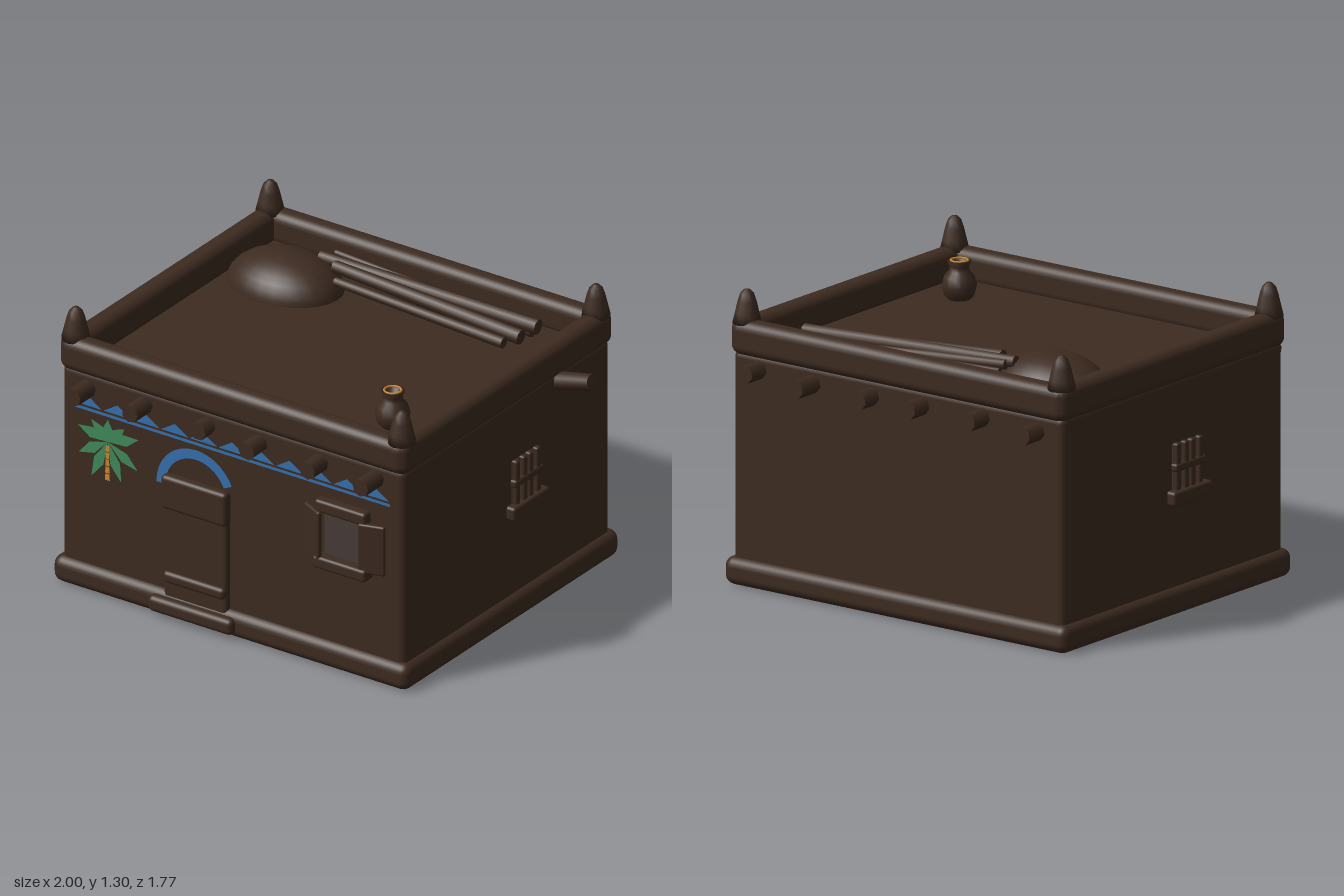
import * as THREE from 'three';
import { RoundedBoxGeometry } from 'three/addons/geometries/RoundedBoxGeometry.js';

const mat = (color) => new THREE.MeshStandardMaterial({ color });

export function createModel() {
  const model = new THREE.Group();
  const mud = mat(0x3d2b20), blue = mat(0x3570ad), green = mat(0x3f8a5a);
  const orange = mat(0xc8862f), pane = mat(0x463a38);
  blue.side = green.side = orange.side = THREE.DoubleSide;
  const CX = -0.07, FRONT = 0.77;

  const add = (name, geo, material = mud, parent = model) => {
    const mesh = new THREE.Mesh(geo, material);
    mesh.name = name;
    parent.add(mesh);
    return mesh;
  };
  // Soft-edged block given by its extents
  const block = (name, x0, x1, y0, y1, z0, z1, r = 0.015, parent = model, material = mud) => {
    const m = add(name, new RoundedBoxGeometry(x1 - x0, y1 - y0, z1 - z0, 3, r), material, parent);
    m.position.set((x0 + x1) / 2, (y0 + y1) / 2, (z0 + z1) / 2);
    return m;
  };
  // Round bar between two points
  const rod = (name, a, b, r0, r1 = r0, sides = 8) => {
    const p = new THREE.Vector3(...a), q = new THREE.Vector3(...b);
    const m = add(name, new THREE.CylinderGeometry(r1, r0, p.distanceTo(q), sides));
    m.position.copy(p).lerp(q, 0.5);
    m.quaternion.setFromUnitVectors(new THREE.Vector3(0, 1, 0), q.sub(p).normalize());
    return m;
  };
  // Flat paint on the front wall
  const paint = (name, points, material, z = FRONT) => {
    const shape = new THREE.Shape(points.map(([x, y]) => new THREE.Vector2(x, y)));
    add(name, new THREE.ShapeGeometry(shape), material).position.z = z;
  };

  // Walls, plinth and roof
  block('walls', CX - 0.89, CX + 0.89, 0.01, 1.04, -0.766, 0.766, 0.035);
  block('plinth', CX - 0.922, CX + 0.922, 0, 0.125, -0.798, 0.798, 0.045);

  // Parapet rails and corner finials
  const finialProfile = [[0, 0.15], [0.014, 0.147], [0.03, 0.13], [0.042, 0.095], [0.054, 0.045], [0.065, 0], [0, 0]]
    .reverse().map(([x, y]) => new THREE.Vector2(x, y));
  for (const s of [-1, 1]) {
    const z = s * 0.732, x = CX + s * 0.85;
    block('parapetRail', CX - 0.895, CX + 0.895, 1.015, 1.172, z - 0.053, z + 0.053, 0.045);
    block('parapetRail', x - 0.053, x + 0.053, 1.015, 1.172, -0.78, 0.78, 0.045);
    for (const t of [-1, 1]) {
      add('cornerFinial', new THREE.LatheGeometry(finialProfile, 10)).position.set(CX + s * 0.845, 1.152, t * 0.72);
    }
  }

  // Roof beam ends, front and back: [x, y, front z, back z]
  [[-0.82, 0.96, 0.88, -0.87], [-0.525, 0.97, 0.88, -0.87], [-0.2, 0.965, 0.84, -0.865],
    [0.07, 0.96, 0.865, -0.86], [0.385, 0.96, 0.865, -0.89], [0.675, 0.972, 0.885, -0.865]]
    .forEach(([x, y, zf, zb], i) => {
      rod('beamEnd', [x, y, 0.7], [x, y, zf], 0.041, 0.041, 7).rotateY(i * 0.7);
      rod('beamEnd', [x, y, -0.7], [x, y, zb], 0.041, 0.041, 7).rotateY(i * 0.9);
    });
  rod('waterSpout', [0.74, 0.975, -0.383], [0.99, 1.037, -0.383], 0.044, 0.036, 10);

  // Door with rails and step
  block('door', -0.415, -0.085, 0.08, 0.67, 0.74, 0.79, 0.02);
  block('doorTopRail', -0.42, -0.082, 0.52, 0.68, 0.745, 0.806, 0.02);
  block('doorLowerRail', -0.41, -0.09, 0.17, 0.225, 0.745, 0.808, 0.02);
  block('doorStep', -0.472, -0.035, 0.025, 0.1, 0.74, 0.832, 0.025);

  // Front window with open shutters
  block('windowPane', 0.41, 0.625, 0.53, 0.75, 0.74, 0.775, 0.005, model, pane);
  block('windowLintel', 0.38, 0.645, 0.742, 0.802, 0.74, 0.81);
  block('windowSill', 0.38, 0.655, 0.482, 0.54, 0.74, 0.825);
  block('leftShutter', 0.608, 0.73, 0.52, 0.755, 0.778, 0.803, 0.01).rotation.y = 0.28;
  block('rightShutter', 0.302, 0.425, 0.52, 0.752, 0.778, 0.803, 0.01).rotation.y = -0.45;

  // Barred side windows
  for (const [s, zc] of [[1, -0.127], [-1, 0.09]]) {
    const win = new THREE.Group();
    win.name = 'sideWindow';
    block('sidePane', -0.02, 0.004, 0.55, 0.755, -0.1, 0.1, 0.003, win, pane);
    for (const z of [-0.075, -0.02, 0.025, 0.08]) {
      block('windowBar', -0.02, 0.025, 0.54, 0.76, z - 0.015, z + 0.015, 0.01, win);
    }
    block('windowCrossBar', -0.02, 0.03, 0.635, 0.672, -0.105, 0.105, 0.012, win);
    block('sideSill', -0.02, 0.042, 0.49, 0.555, -0.134, 0.134, 0.015, win);
    win.position.set(CX + s * 0.89, 0, zc);
    win.rotation.y = s < 0 ? Math.PI : 0;
    model.add(win);
  }

  // Painted frieze
  paint('friezeLine', [[-0.89, 0.854], [0.75, 0.854], [0.75, 0.868], [-0.89, 0.868]], blue);
  for (let i = 0; i < 11; i++) {
    const x = -0.815 + i * 0.149;
    paint('friezeTriangle', [[x - 0.071, 0.878], [x + 0.071, 0.878], [x, 0.923]], blue);
  }

  // Painted arch above the door
  add('doorArch', new THREE.RingGeometry(0.158, 0.204, 28, 1, 0.42, Math.PI - 0.4), blue)
    .position.set(-0.258, 0.626, FRONT);

  // Painted palm tree: pointed fronds around one centre
  const [px, py] = [-0.715, 0.735];
  for (const [tx, ty] of [[-0.87, 0.775], [-0.715, 0.84], [-0.555, 0.79], [-0.56, 0.64],
    [-0.645, 0.56], [-0.8, 0.55], [-0.865, 0.645], [-0.8, 0.82], [-0.63, 0.82]]) {
    const dx = tx - px, dy = ty - py, len = Math.hypot(dx, dy);
    const nx = -dy / len * 0.027, ny = dx / len * 0.027;
    const mx = px + dx * 0.55, my = py + dy * 0.55;
    paint('palmFrond', [[px, py], [mx - nx, my - ny], [tx, ty], [mx + nx, my + ny]], green);
  }
  for (let i = 0; i < 5; i++) {
    const y = 0.553 + i * 0.034, w = 0.013 - i * 0.001;
    paint('palmTrunk', [[px - w, y], [px + w, y], [px + w * 0.8, y + 0.031], [px - w * 0.8, y + 0.031]], orange, FRONT + 0.003);
  }

  // Grain mound on the roof
  const mound = add('roofMound', new THREE.SphereGeometry(1, 24, 8, 0, Math.PI * 2, 0, Math.PI / 2));
  mound.scale.set(0.272, 0.16, 0.21);
  mound.position.set(-0.6, 1.03, -0.385);

  // Bundle of poles lying on the roof
  [[[-0.49, 1.13, -0.6], [0.47, 1.08, -0.595], 0.018], [[-0.5, 1.15, -0.5], [0.59, 1.11, -0.555], 0.035],
    [[-0.47, 1.14, -0.53], [0.55, 1.07, -0.575], 0.028], [[-0.4, 1.15, -0.46], [0.55, 1.08, -0.485], 0.035],
    [[-0.36, 1.11, -0.41], [0.51, 1.07, -0.415], 0.026]]
    .forEach(([a, b, r]) => rod('roofPole', a, b, r * 0.8, r, 8));

  // Water pot with a warm rim
  const pot = [[0, 0], [0.04, 0], [0.066, 0.03], [0.076, 0.07], [0.066, 0.11], [0.045, 0.135],
    [0.042, 0.155], [0.052, 0.178], [0.04, 0.18], [0.03, 0.15], [0, 0.14]].map(([x, y]) => new THREE.Vector2(x, y));
  add('waterPot', new THREE.LatheGeometry(pot, 16)).position.set(0.53, 1.03, 0.437);
  const rim = add('potRim', new THREE.TorusGeometry(0.037, 0.005, 6, 16), orange);
  rim.rotation.x = Math.PI / 2;
  rim.position.set(0.53, 1.21, 0.437);

  return model;
}
